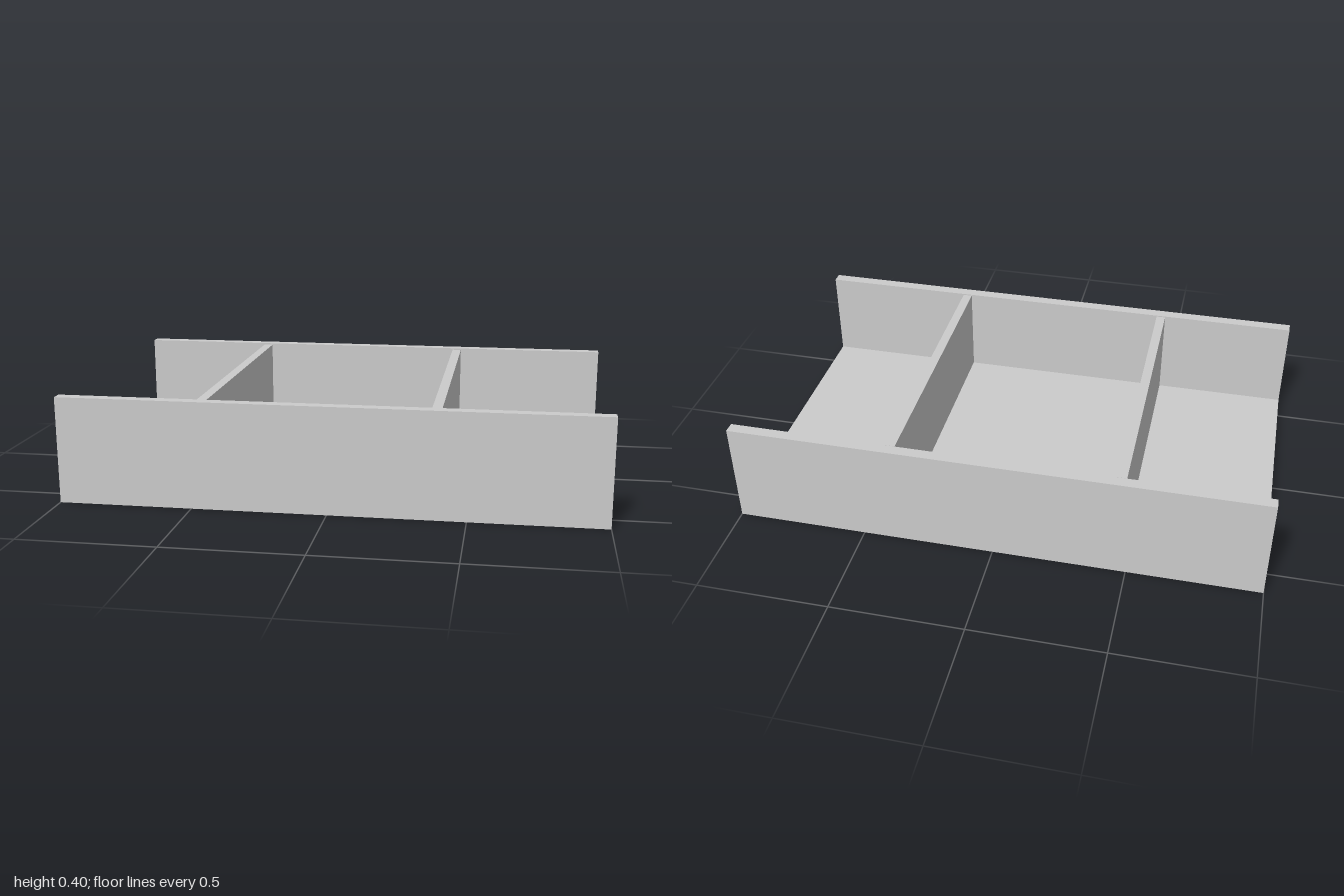
import * as THREE from 'three';

export function createModel() {
  const group = new THREE.Group();
  const material = new THREE.MeshStandardMaterial({ color: 0xcccccc, flatShading: true });

  // A flat board given by its extent along each axis
  function board(name, [x0, x1], [y0, y1], [z0, z1]) {
    const mesh = new THREE.Mesh(new THREE.BoxGeometry(x1 - x0, y1 - y0, z1 - z0), material);
    mesh.position.set((x0 + x1) / 2, (y0 + y1) / 2, (z0 + z1) / 2);
    mesh.name = name;
    group.add(mesh);
  }

  // Tray floor and the two long walls; both short ends stay open
  board('base', [-1, 1], [0, 0.045], [-0.6, 0.598]);
  board('frontWall', [-1, 1], [0, 0.4], [0.557, 0.6]);
  board('backWall', [-1, 1], [0.04, 0.403], [-0.6, -0.557]);

  // Cross dividers, with a small clearance to the walls and floor
  for (const [name, x] of [['rightDivider', -0.462], ['leftDivider', 0.387]]) {
    board(name, [x - 0.018, x + 0.018], [0.05, 0.398], [-0.55, 0.553]);
  }

  return group;
}
